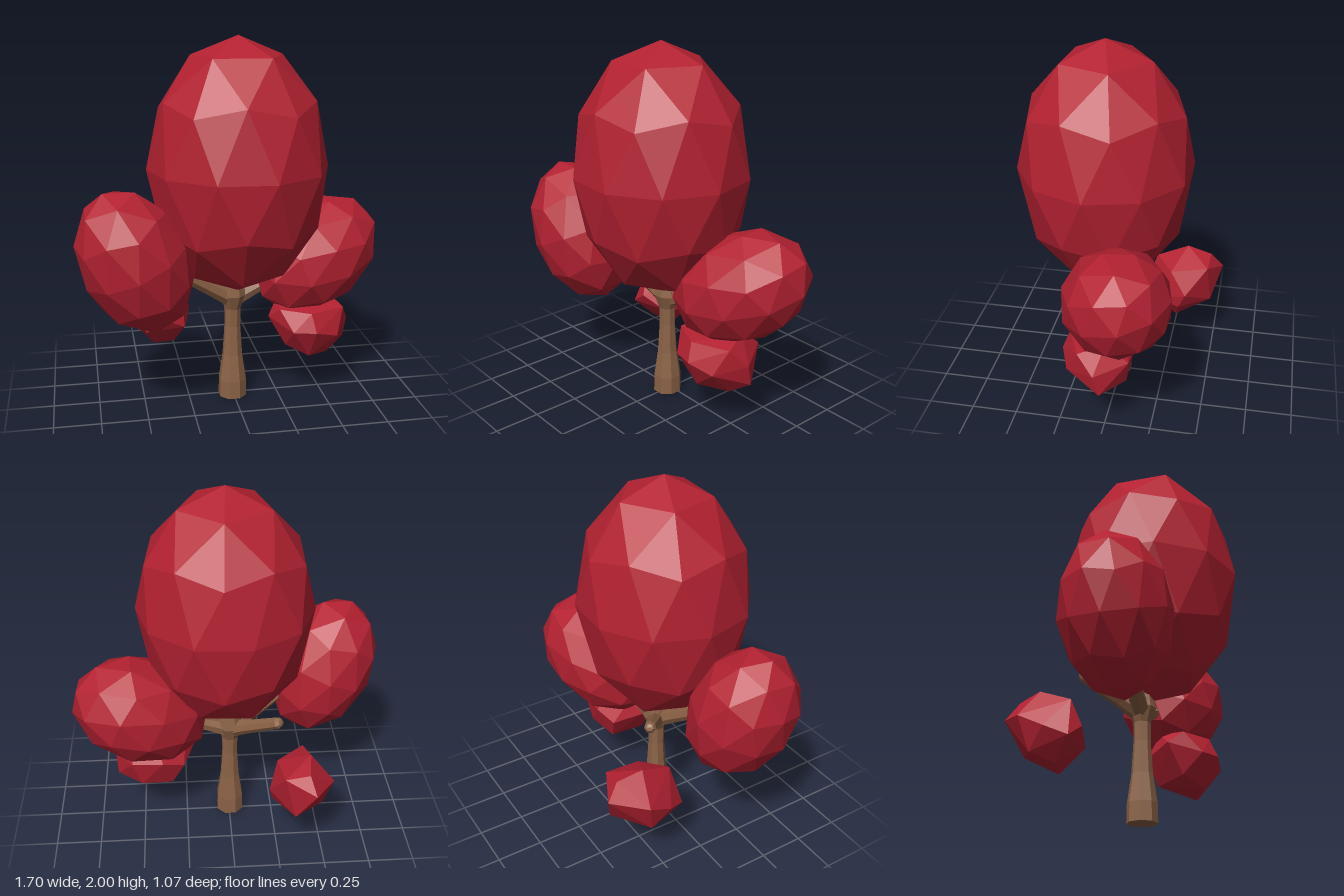
import * as THREE from 'three';
import { ConvexGeometry } from 'three/addons/geometries/ConvexGeometry.js';

const UP = new THREE.Vector3(0, 1, 0);
const V = (p) => new THREE.Vector3(...p);

export function createModel() {
  const tree = new THREE.Group();
  tree.name = 'tree';
  const leaf = new THREE.MeshStandardMaterial({ color: 0xb32131, flatShading: true });
  const bark = new THREE.MeshStandardMaterial({ color: 0x8b6246, flatShading: true });

  const add = (name, geometry, material) => {
    const mesh = new THREE.Mesh(geometry, material);
    mesh.name = name;
    tree.add(mesh);
    return mesh;
  };

  // Faceted ellipsoid with a corner at its pole, turned about and tilted along an axis
  const foliage = (name, centre, radii, axis, turn) => {
    const g = new THREE.IcosahedronGeometry(1, 1);
    g.rotateX(-Math.atan2(1 + Math.sqrt(5), 2));
    g.rotateY(turn);
    g.scale(...radii);
    const mesh = add(name, g, leaf);
    mesh.quaternion.setFromUnitVectors(UP, V(axis).normalize());
    mesh.position.set(...centre);
  };

  // Crown and the two large side clusters
  foliage('crown', [0.015, 1.32, 0.075], [0.48, 0.68, 0.467], [0, 1, 0], 0.56);
  foliage('rightCluster', [-0.545, 0.87, 0.2], [0.285, 0.41, 0.285], [-0.38, 0.92, 0.1], 0.3);
  foliage('leftCluster', [0.485, 0.785, -0.065], [0.29, 0.4, 0.29], [0.82, 0.5, -0.28], 0.3);

  // Small irregular clusters low on the tree
  const clump = (name, points) => add(name, new ConvexGeometry(points.map(V)), leaf);
  clump('backClump', [
    [-0.43, 0.51, -0.54], [-0.27, 0.57, -0.46], [-0.40, 0.60, -0.47], [-0.42, 0.63, -0.33],
    [-0.33, 0.33, -0.48], [-0.30, 0.22, -0.28], [-0.42, 0.24, -0.22], [-0.20, 0.41, -0.34],
    [-0.55, 0.47, -0.36], [-0.53, 0.40, -0.22], [-0.47, 0.35, -0.11], [-0.37, 0.42, -0.10],
    [-0.50, 0.29, -0.32], [-0.22, 0.32, -0.30], [-0.25, 0.54, -0.25], [-0.40, 0.56, -0.15],
    [-0.25, 0.35, -0.16],
  ]);
  clump('leftClump', [
    [0.19, 0.47, 0.06], [0.25, 0.54, -0.02], [0.24, 0.53, 0.13], [0.40, 0.52, 0.20],
    [0.40, 0.57, -0.08], [0.55, 0.56, -0.02], [0.60, 0.52, 0.12], [0.65, 0.42, 0.03],
    [0.64, 0.30, 0.00], [0.53, 0.23, 0.05], [0.40, 0.26, 0.16], [0.28, 0.31, 0.10],
    [0.33, 0.28, -0.08], [0.50, 0.31, -0.12], [0.42, 0.42, 0.24], [0.55, 0.38, 0.19],
    [0.30, 0.42, 0.21], [0.38, 0.46, -0.15], [0.55, 0.46, -0.14], [0.26, 0.42, -0.11],
  ]);

  // Eight-sided trunk, wide at the foot and flaring at the fork
  const profile = [[0, 0], [0.08, 0], [0.078, 0.1], [0.056, 0.25], [0.045, 0.42],
    [0.046, 0.52], [0.075, 0.6], [0.06, 0.68], [0, 0.8]];
  const trunk = add('trunk', new THREE.LatheGeometry(
    profile.map(([r, y]) => new THREE.Vector2(r, y)), 8, Math.PI / 8), bark);
  trunk.position.set(-0.005, 0, 0.02);

  // Tapering branches with blunt tips, from the fork outwards
  const start = V([-0.005, 0.57, 0.02]);
  const branches = {
    backBranch: [-0.27, 0.75, -0.19],
    rightBranch: [-0.42, 0.84, 0.14],
    leftBranch: [0.36, 0.72, -0.04],
  };
  for (const [name, end] of Object.entries(branches)) {
    const along = V(end).sub(start);
    const length = along.length();
    const outline = [[0, 0], [0.05, 0], [0.04, length * 0.35], [0.033, length - 0.02],
      [0.02, length], [0, length + 0.004]];
    const branch = add(name, new THREE.LatheGeometry(
      outline.map(([r, y]) => new THREE.Vector2(r, y)), 7), bark);
    branch.position.copy(start);
    branch.quaternion.setFromUnitVectors(UP, along.normalize());
  }
  return tree;
}
